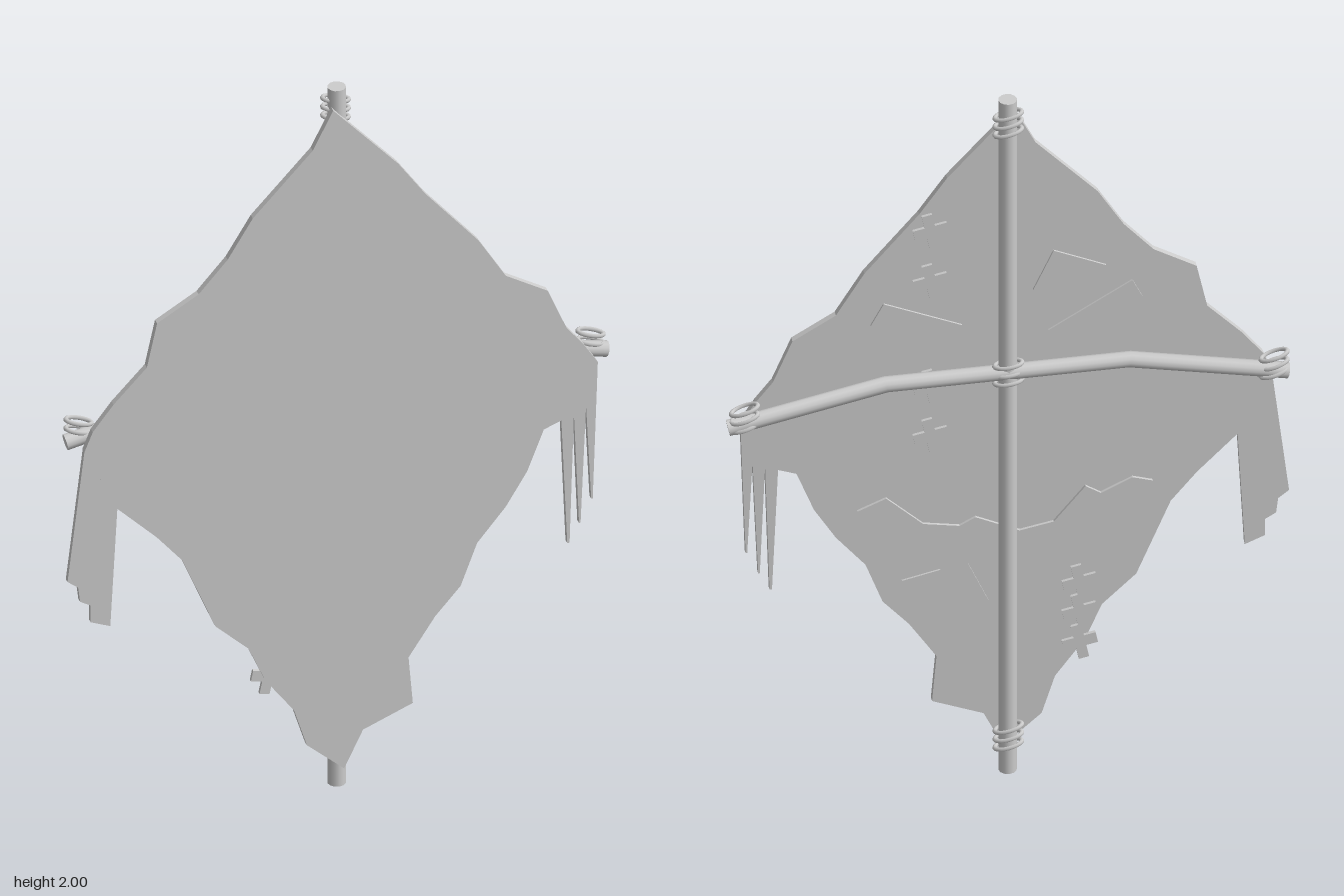
import * as THREE from 'three';

const clothGrey = new THREE.MeshStandardMaterial({ color: 0xcccccc });
clothGrey.name = 'pale grey';

function add(parent, name, geometry) {
  const mesh = new THREE.Mesh(geometry, clothGrey);
  mesh.name = name;
  parent.add(mesh);
  return mesh;
}

// Flat plate cut from an outline of [x, y] points, between two depths
function plate(parent, name, points, zBack, zFront) {
  const shape = new THREE.Shape(points.map(([x, y]) => new THREE.Vector2(x, y)));
  const geometry = new THREE.ExtrudeGeometry(shape, { depth: zFront - zBack, bevelEnabled: false });
  geometry.translate(0, 0, zBack);
  return add(parent, name, geometry);
}

// Three tilted loops of cord stacked around a joint
function lashing(parent, name, x, y, tilt) {
  const group = new THREE.Group();
  group.name = name;
  for (let i = -1; i <= 1; i++) {
    const geometry = new THREE.TorusGeometry(0.034, 0.006, 8, 24);
    geometry.rotateX(Math.PI / 2);
    geometry.scale(1, 1, 0.52);
    geometry.rotateZ(tilt);
    geometry.translate(x, y + i * 0.025, -0.014);
    add(group, 'cordLoop', geometry);
  }
  parent.add(group);
}

export function createModel() {
  const model = new THREE.Group();
  model.name = 'tatteredKite';

  // Ragged sail
  plate(model, 'sail', [
    [-0.02, 1.955], [-0.072, 1.85], [-0.225, 1.685], [-0.289, 1.579], [-0.363, 1.494],
    [-0.469, 1.431], [-0.495, 1.309], [-0.58, 1.219], [-0.633, 1.15], [-0.654, 1.097],
    [-0.57, 0.917], [-0.47, 0.816], [-0.405, 0.737], [-0.32, 0.53], [-0.236, 0.45],
    [-0.193, 0.35], [-0.12, 0.25], [-0.087, 0.143], [0.008, 0.058], [0.056, 0.16],
    [0.183, 0.212], [0.172, 0.345], [0.24, 0.45], [0.305, 0.525], [0.347, 0.64],
    [0.42, 0.73], [0.474, 0.82], [0.517, 0.933], [0.562, 0.95], [0.655, 1.1],
    [0.617, 1.16], [0.575, 1.214], [0.527, 1.33], [0.42, 1.394], [0.35, 1.51],
    [0.215, 1.67], [0.146, 1.77],
  ], 0.013, 0.03);

  // Torn flap and thin tatters hanging from the side corners
  plate(model, 'tornFlap', [
    [-0.654, 1.097], [-0.697, 0.731], [-0.67, 0.71], [-0.665, 0.668], [-0.638, 0.652],
    [-0.638, 0.604], [-0.588, 0.583], [-0.57, 0.917],
  ], 0.015, 0.029);
  plate(model, 'tatters', [
    [0.655, 1.1], [0.562, 0.95], [0.577, 0.594], [0.583, 0.594], [0.594, 0.965],
    [0.607, 0.646], [0.611, 0.646], [0.625, 0.98], [0.638, 0.71], [0.642, 0.71],
  ], 0.015, 0.029);

  // Patches sewn on the back
  const patches = [
    [[0.303, 1.416], [0.11, 1.33], [0.155, 1.274], [0.335, 1.355]],
    [[-0.116, 1.524], [-0.245, 1.465], [-0.18, 1.36], [-0.065, 1.412]],
    [[-0.103, 1.288], [-0.31, 1.412], [-0.335, 1.36], [-0.135, 1.244]],
    [[0.258, 0.584], [0.097, 0.62], [0.045, 0.5], [0.213, 0.456]],
  ];
  patches.forEach((points) => plate(model, 'patch', points, 0.008, 0.0135));
  plate(model, 'zigzagPatch', [
    [0.368, 0.806], [0.297, 0.836], [0.206, 0.749], [0.116, 0.732], [0.077, 0.753],
    [-0.032, 0.7], [-0.116, 0.716], [-0.194, 0.812], [-0.232, 0.787], [-0.31, 0.824],
    [-0.36, 0.808], [-0.355, 0.749], [-0.297, 0.676], [-0.232, 0.682], [-0.155, 0.598],
    [-0.084, 0.62], [-0.02, 0.586], [0.077, 0.62], [0.161, 0.604], [0.194, 0.647],
    [0.239, 0.636], [0.303, 0.683],
  ], 0.006, 0.0135);

  // Cross stitches on the back
  const stitches = [
    [0.187, 1.62], [0.187, 1.47], [0.187, 1.155], [0.187, 1.01],
    [-0.18, 0.527], [-0.18, 0.44], [-0.18, 0.35],
  ];
  for (const [x, y] of stitches) {
    const stitch = new THREE.Group();
    stitch.name = 'crossStitch';
    add(stitch, 'stitchAcross', new THREE.BoxGeometry(0.085, 0.03, 0.009));
    add(stitch, 'stitchDown', new THREE.BoxGeometry(0.026, 0.1, 0.009));
    stitch.position.set(x, y, 0.0095);
    stitch.rotation.z = -0.2;
    model.add(stitch);
  }

  // Upright pole
  const pole = add(model, 'pole', new THREE.CylinderGeometry(0.023, 0.023, 2, 12));
  pole.position.set(0, 1, -0.005);

  // Crossbar, level in the middle and drooping toward both ends
  const bar = new THREE.CylinderGeometry(0.02, 0.02, 1.38, 12, 46);
  bar.rotateZ(Math.PI / 2);
  const p = bar.attributes.position;
  const slope = 0.21;
  for (let i = 0; i < p.count; i++) {
    const x = p.getX(i), y = p.getY(i), out = Math.abs(x) - 0.3;
    if (out > 0) p.setXY(i, x + Math.sign(x) * y * slope, y - out * slope);
  }
  bar.translate(0, 1.19, -0.01);
  add(model, 'crossbar', bar);

  // Cord lashings at the pole ends, the crossing and the bar ends
  lashing(model, 'topLashing', 0, 1.935, -0.22);
  lashing(model, 'crossingLashing', 0, 1.19, -0.1);
  lashing(model, 'bottomLashing', 0, 0.105, -0.22);
  lashing(model, 'leftLashing', 0.65, 1.135, -0.3);
  lashing(model, 'rightLashing', -0.655, 1.135, -0.3);

  return model;
}
